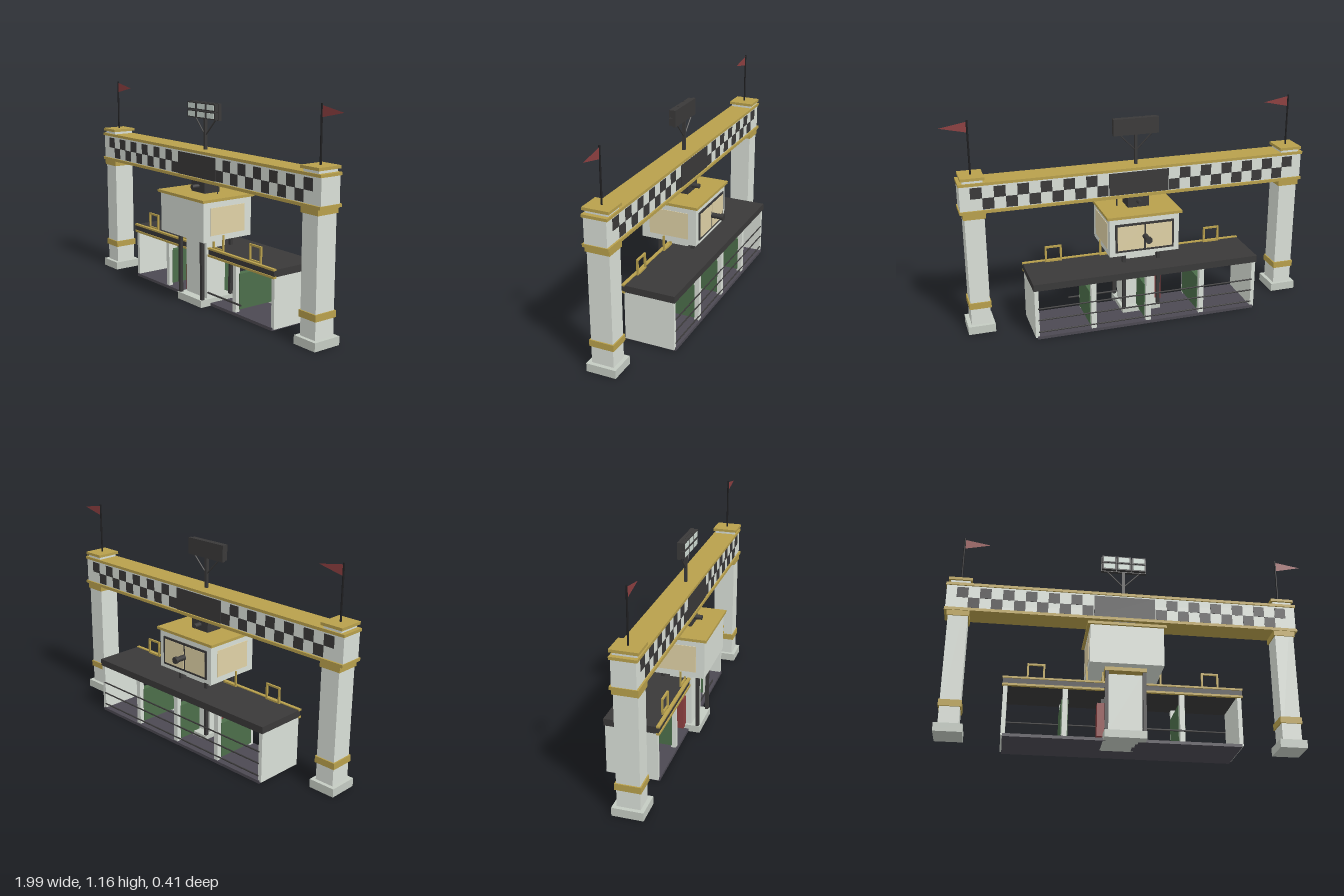
import * as THREE from 'three';

const mat = (color, side = THREE.FrontSide) => new THREE.MeshStandardMaterial({ color, side });
const M = {
  white: mat(0xd9dfd7), stone: mat(0xc4cbc2), gold: mat(0xb8a04c), dark: mat(0x3a3939),
  slab: mat(0x4c4952), red: mat(0x8c3f40, THREE.DoubleSide), green: mat(0x4c6e4a),
  tan: mat(0xdfd1a6), lamp: mat(0xcfdcd4), black: mat(0x1e1e20),
};

// Box from its lower and upper limits on each axis
function box(parent, name, m, x0, x1, y0, y1, z0, z1) {
  const mesh = new THREE.Mesh(new THREE.BoxGeometry(x1 - x0, y1 - y0, z1 - z0), m);
  mesh.position.set((x0 + x1) / 2, (y0 + y1) / 2, (z0 + z1) / 2);
  mesh.name = name;
  parent.add(mesh);
  return mesh;
}
// Box centred on x and z
const slab = (p, name, m, x, hx, y0, y1, z, hz) => box(p, name, m, x - hx, x + hx, y0, y1, z - hz, z + hz);

// Round bar between two points
function bar(parent, name, m, a, b, r, sides = 8) {
  const A = new THREE.Vector3(...a), B = new THREE.Vector3(...b), d = B.clone().sub(A);
  const mesh = new THREE.Mesh(new THREE.CylinderGeometry(r, r, d.length(), sides), m);
  mesh.position.copy(A).add(B).multiplyScalar(0.5);
  mesh.quaternion.setFromUnitVectors(new THREE.Vector3(0, 1, 0), d.normalize());
  mesh.name = name;
  parent.add(mesh);
}

function group(parent, name) {
  const g = new THREE.Group();
  g.name = name;
  parent.add(g);
  return g;
}

// Gantry column with base, bands, cap and pennant
function column(parent, name, x) {
  const g = group(parent, name);
  slab(g, 'columnBase', M.stone, x, 0.073, 0, 0.045, 0, 0.081);
  slab(g, 'columnShaft', M.white, x, 0.052, 0.045, 0.86, 0, 0.06);
  slab(g, 'lowerBand', M.gold, x, 0.059, 0.14, 0.175, 0, 0.067);
  slab(g, 'capital', M.gold, x, 0.059, 0.65, 0.682, 0, 0.066);
  slab(g, 'columnCap', M.gold, x, 0.063, 0.86, 0.875, 0, 0.071);
  bar(g, 'flagPole', M.black, [x, 0.875, 0], [x, 1.16, 0], 0.005);
  const shape = new THREE.Shape([[0, 1.152], [0, 1.095], [0.143, 1.127]].map(p => new THREE.Vector2(...p)));
  const flag = new THREE.Mesh(new THREE.ShapeGeometry(shape), M.red);
  flag.position.x = x;
  flag.name = 'pennant';
  g.add(flag);
}

// Beam with trim, chequered faces and a blank centre board
function beam(parent) {
  const g = group(parent, 'beam');
  slab(g, 'beamCore', M.white, 0, 0.957, 0.69, 0.835, 0, 0.0605);
  slab(g, 'beamTopTrim', M.gold, 0, 0.962, 0.83, 0.845, 0, 0.068);
  slab(g, 'beamBottomTrim', M.gold, 0, 0.962, 0.68, 0.696, 0, 0.07);
  for (const f of [-1, 1]) {
    slab(g, 'centreBoard', M.dark, 0, 0.167, 0.698, 0.822, f * 0.06, 0.004);
    for (const s of [-1, 1]) for (let i = 0; i < 12; i++) {
      const y = i % 2 ? 0.7 : 0.76;
      slab(g, 'checkerSquare', M.dark, s * (0.872 - i * 0.061), 0.0302, y, y + 0.06, f * 0.06, 0.0025);
    }
  }
}

// Floodlight panel on a braced mast
function floodlights(parent) {
  const g = group(parent, 'floodlights');
  slab(g, 'mast', M.dark, 0, 0.008, 0.845, 1.02, 0, 0.008);
  for (const s of [-1, 1]) bar(g, 'brace', M.dark, [0, 0.92, 0], [s * 0.09, 1.012, -0.002], 0.004, 6);
  box(g, 'lampPanel', M.dark, -0.127, 0.127, 1.01, 1.1, -0.01, 0.008);
  for (let i = -1; i <= 1; i++) for (const y of [1.034, 1.078]) {
    box(g, 'lampHousing', M.dark, i * 0.083 - 0.039, i * 0.083 + 0.039, y - 0.02, y + 0.02, 0.006, 0.029);
    box(g, 'lampGlass', M.lamp, i * 0.083 - 0.031, i * 0.083 + 0.031, y - 0.014, y + 0.014, 0.027, 0.031);
  }
}

// Control cabin on its pedestal, with rear window and camera
function cabin(parent) {
  const g = group(parent, 'cabin');
  slab(g, 'cabinBody', M.white, 0, 0.195, 0.385, 0.602, 0, 0.16);
  slab(g, 'cabinRoof', M.gold, 0, 0.21, 0.6, 0.615, 0, 0.172);
  slab(g, 'cabinFloor', M.gold, 0, 0.11, 0.365, 0.386, 0, 0.112);
  for (const s of [-1, 1]) slab(g, 'sideWindow', M.tan, s * 0.195, 0.003, 0.417, 0.566, 0, 0.114);
  box(g, 'rearWindowFrame', M.dark, -0.165, 0.165, 0.407, 0.568, -0.166, -0.158);
  for (const s of [-1, 1]) slab(g, 'rearPane', M.tan, s * 0.079, 0.074, 0.419, 0.556, -0.165, 0.003);
  bar(g, 'cameraBody', M.dark, [0, 0.49, -0.16], [0, 0.49, -0.225], 0.015, 12);
  bar(g, 'cameraLens', M.dark, [0, 0.49, -0.222], [0, 0.49, -0.238], 0.019, 12);
  slab(g, 'pedestalCore', M.white, 0, 0.093, 0.04, 0.366, 0, 0.062);
  slab(g, 'pedestalBase', M.stone, 0, 0.11, 0, 0.04, 0, 0.113);
  for (const x of [-1, 1]) for (const z of [-1, 1])
    slab(g, 'pedestalPost', M.dark, x * 0.099, 0.009, 0.04, 0.366, z * 0.098, 0.009);
  // Mount between roof and beam
  slab(g, 'hangerBox', M.dark, 0, 0.06, 0.614, 0.682, 0, 0.05);
  bar(g, 'sensorTube', M.dark, [0, 0.648, -0.092], [0, 0.648, 0.092], 0.013, 12);
  bar(g, 'cableRod', M.dark, [0.107, 0.614, 0], [0.107, 0.682, 0], 0.004, 6);
}

// Long open shelter with bays, rails and roof hoops
function shelter(parent) {
  const g = group(parent, 'shelter');
  const back = -0.24, front = 0.05;
  box(g, 'shelterFloor', M.slab, -0.618, 0.618, 0, 0.016, back, front);
  box(g, 'shelterRoof', M.dark, -0.631, 0.631, 0.282, 0.32, back, front);
  box(g, 'roofTrimLower', M.gold, -0.633, 0.633, 0.275, 0.286, front - 0.012, front + 0.006);
  box(g, 'roofTrimUpper', M.gold, -0.633, 0.633, 0.315, 0.325, front - 0.012, front + 0.006);
  for (const s of [-1, 1]) slab(g, 'endWall', M.white, s * 0.616, 0.011, 0.008, 0.282, -0.095, 0.139);
  for (const x of [-0.307, 0, 0.307]) {
    box(g, 'rearPost', M.white, x - 0.014, x + 0.014, 0.016, 0.283, back + 0.006, back + 0.034);
    if (x) box(g, 'frontPost', M.white, x - 0.013, x + 0.013, 0.016, 0.283, front - 0.034, front - 0.008);
    box(g, 'partition', M.green, x - 0.018, x + 0.018, 0.03, 0.225, back + 0.03, x ? front - 0.03 : -0.07);
  }
  // Horizontal rails along the open back
  for (const y of [0.04, 0.11, 0.176])
    bar(g, 'rail', M.dark, [-0.61, y, back + 0.006], [0.61, y, back + 0.006], 0.004, 6);
  bar(g, 'barrierArm', M.dark, [0.09, 0.072, 0.055], [0.38, 0.072, 0.055], 0.005, 6);
  box(g, 'cabinet', M.red, -0.14, -0.093, 0.03, 0.212, -0.03, 0.03);
  // Square hoops on the roof
  for (let i = 0; i < 4; i++) {
    const x = (i - 1.5) * 0.3085, z = 0.03;
    for (const s of [-1, 1]) slab(g, 'hoopLeg', M.gold, x + s * 0.042, 0.005, 0.32, 0.41, z, 0.005);
    slab(g, 'hoopTop', M.gold, x, 0.047, 0.401, 0.411, z, 0.005);
    slab(g, 'hoopFoot', M.gold, x, 0.047, 0.32, 0.33, z, 0.005);
  }
}

export function createModel() {
  const root = new THREE.Group();
  root.name = 'startGantry';
  const body = group(root, 'gantry');
  body.position.set(-0.04, 0, 0.035);
  column(body, 'rightColumn', -0.887);
  column(body, 'leftColumn', 0.887);
  beam(body);
  floodlights(body);
  cabin(body);
  shelter(body);
  return root;
}
